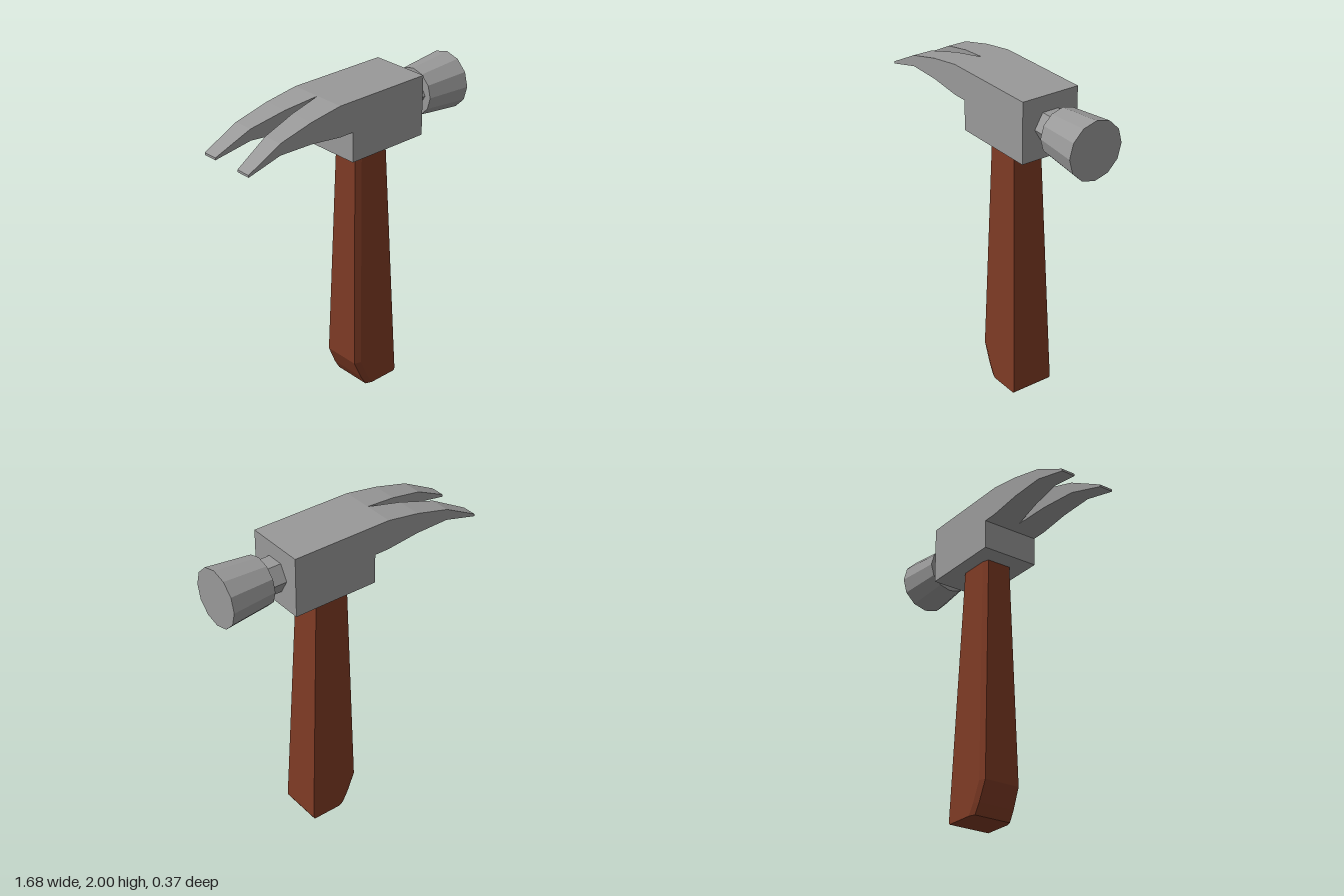
import * as THREE from 'three';

const steel = new THREE.MeshStandardMaterial({ color: 0x999999, flatShading: true });
const wood = new THREE.MeshStandardMaterial({ color: 0x7d3a24, flatShading: true });
const HALF = 0.187; // half width of the head
const AXIS_Y = 1.813; // height of the striking axis

function addMesh(parent, name, geometry, material) {
  const mesh = new THREE.Mesh(geometry, material);
  mesh.name = name;
  parent.add(mesh);
}

// Extrudes a side profile, then places its two sides at back(x) and front(x).
function slab(points, back, front) {
  const shape = new THREE.Shape(points.map(([x, y]) => new THREE.Vector2(x, y)));
  const geometry = new THREE.ExtrudeGeometry(shape, { depth: 1, bevelEnabled: false });
  const p = geometry.attributes.position;
  for (let i = 0; i < p.count; i++) {
    const x = p.getX(i);
    p.setZ(i, THREE.MathUtils.lerp(back(x), front(x), p.getZ(i)));
  }
  geometry.computeVertexNormals();
  return geometry;
}

// Cylinder lying along x from x0 to x1
function addBarrel(parent, name, x0, x1, r0, r1, sides) {
  const geometry = new THREE.CylinderGeometry(r1, r0, x1 - x0, sides);
  geometry.rotateZ(-Math.PI / 2);
  geometry.translate((x0 + x1) / 2, AXIS_Y, 0);
  addMesh(parent, name, geometry, steel);
}

// Tapered handle with eased edges on the claw side and a chamfered butt
function handleGeometry() {
  // Each section: height, claw-side x, face-side x
  const sections = [
    [0, 0.08, 0.312], [0.015, 0.071, 0.319], [0.065, 0.042, 0.317],
    [0.19, -0.012, 0.311], [1.64, 0.02, 0.246],
  ];
  const positions = [], index = [], n = 6;
  sections.forEach(([y, x0, x1], s) => {
    const w = THREE.MathUtils.lerp(0.138, 0.094, y / 1.63);
    const edge = x0 + 0.04, inner = w - 0.015;
    const ring = [[x1, w], [x1, -w], [edge, -w], [x0, -inner], [x0, inner], [edge, w]];
    ring.forEach(([x, z], j) => {
      positions.push(x, y, z);
      if (s === 0) return;
      const a = (s - 1) * n + j, b = (s - 1) * n + (j + 1) % n;
      index.push(a, b, b + n, a, b + n, a + n);
    });
  });
  for (let j = 1; j < n - 1; j++) index.push(0, j + 1, j); // flat bottom
  const geometry = new THREE.BufferGeometry();
  geometry.setAttribute('position', new THREE.Float32BufferAttribute(positions, 3));
  geometry.setIndex(index);
  geometry.computeVertexNormals();
  return geometry;
}

export function createModel() {
  const hammer = new THREE.Group();
  hammer.name = 'hammer';
  const head = new THREE.Group();
  head.name = 'head';
  hammer.add(head);

  // Square block with the solid root of the claw
  const block = [[-0.097, 1.628], [0.45, 1.628], [0.45, 2], [-0.19, 2], [-0.19, 1.813], [-0.097, 1.813]];
  addMesh(head, 'headBlock', slab(block, () => -HALF, () => HALF), steel);

  // Two curved prongs separated by a V notch
  const claw = [
    [-0.19, 1.813], [-0.19, 2], [-0.4, 1.967], [-0.62, 1.912], [-0.84, 1.8],
    [-0.84, 1.786], [-0.62, 1.843], [-0.4, 1.838],
  ];
  const notch = (x) => Math.max(0, (-0.19 - x) / 0.65) * 0.095;
  addMesh(head, 'leftProng', slab(claw, notch, () => HALF), steel);
  addMesh(head, 'rightProng', slab(claw, () => -HALF, (x) => -notch(x)), steel);

  // Hexagonal neck and flared striking face
  addBarrel(head, 'neck', 0.45, 0.56, 0.105, 0.105, 6);
  addBarrel(head, 'strikingFace', 0.555, 0.84, 0.147, 0.176, 12);

  addMesh(hammer, 'handle', handleGeometry(), wood);
  return hammer;
}
